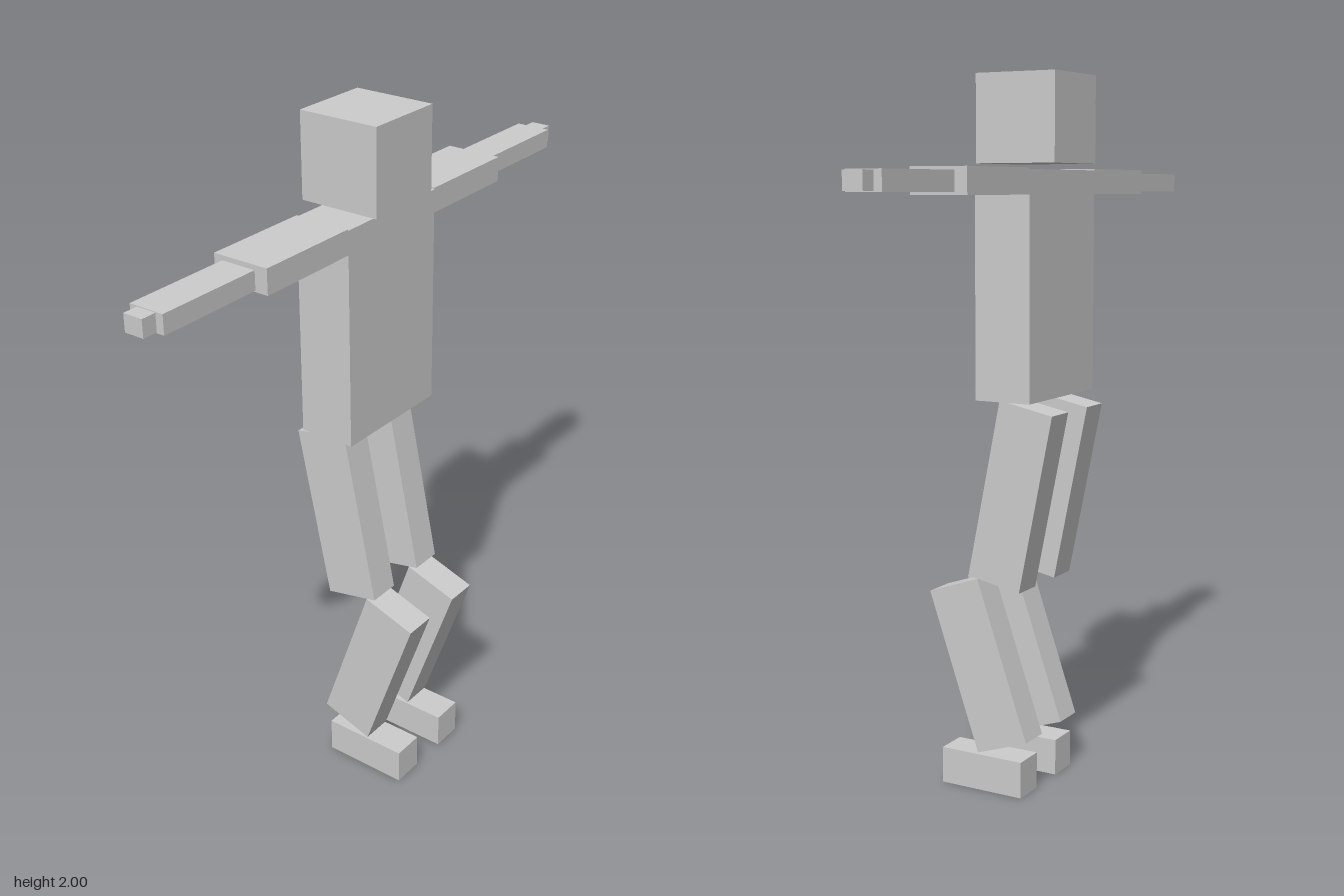
import * as THREE from 'three';

const material = new THREE.MeshStandardMaterial({ color: 0xcccccc, flatShading: true });

// Box with a name, size [x, y, z], centre [x, y, z] and a tilt about x
function block(name, size, centre, tilt = 0) {
  const mesh = new THREE.Mesh(new THREE.BoxGeometry(...size), material);
  mesh.name = name;
  mesh.position.set(...centre);
  mesh.rotation.x = tilt;
  return mesh;
}

export function createModel() {
  const model = new THREE.Group();
  model.name = 'blockFigure';
  const bodyZ = -0.064;

  // Head floats just above the torso
  model.add(
    block('head', [0.238, 0.238, 0.24], [0, 1.881, bodyZ]),
    block('torso', [0.376, 0.618, 0.166], [0, 1.436, bodyZ])
  );

  for (const [side, s] of [['left', 1], ['right', -1]]) {
    // Outstretched arm, narrowing toward the hand
    const arm = new THREE.Group();
    arm.name = side + 'Arm';
    arm.add(
      block('upperArm', [0.313, 0.07, 0.166], [s * 0.3445, 1.714, bodyZ]),
      block('forearm', [0.312, 0.053, 0.102], [s * 0.664, 1.713, bodyZ]),
      block('hand', [0.045, 0.048, 0.057], [s * 0.8405, 1.713, bodyZ])
    );

    // Bent leg with a flat foot
    const leg = new THREE.Group();
    leg.name = side + 'Leg';
    leg.position.x = s * 0.1035 - 0.002;
    leg.add(
      block('thigh', [0.094, 0.511, 0.165], [0, 0.859, -0.063], -0.2),
      block('shin', [0.094, 0.48, 0.165], [0, 0.364, 0.04], 0.332),
      block('foot', [0.094, 0.105, 0.257], [0, 0.0525, 0.029])
    );
    model.add(arm, leg);
  }
  return model;
}
